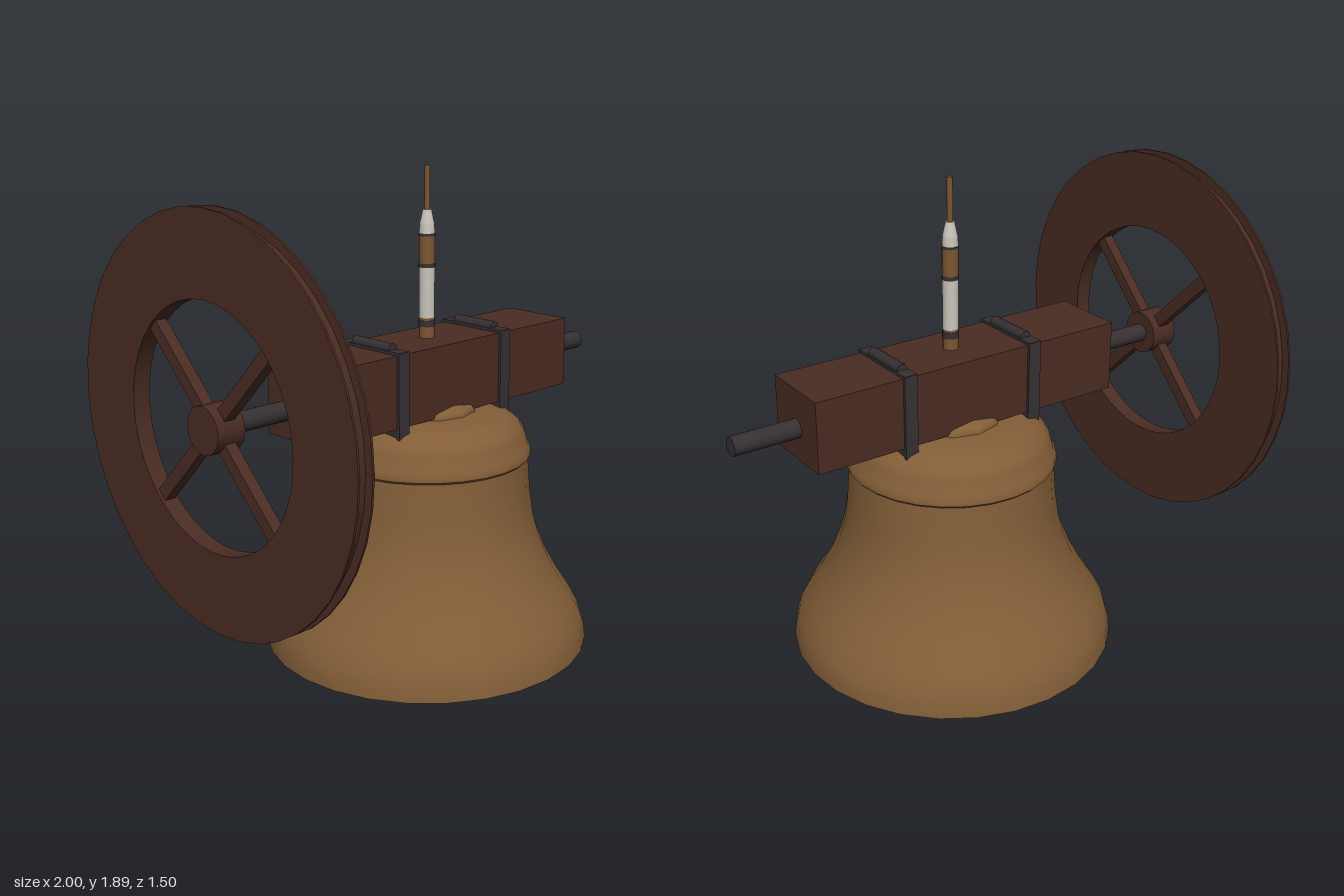
import * as THREE from 'three';
import { toCreasedNormals } from 'three/addons/utils/BufferGeometryUtils.js';

const mat = (name, color) => {
  const m = new THREE.MeshStandardMaterial({ color });
  m.name = name;
  return m;
};

export function createModel() {
  const bronze = mat('bronze', 0x835e38);
  const wood = mat('dark wood', 0x4a2c23);
  const iron = mat('iron', 0x363033);
  const ropeTan = mat('rope brown', 0x7d5632);
  const wool = mat('pale wool', 0xcac6bc);

  const model = new THREE.Group();
  model.name = 'hungBell';
  const add = (name, geo, material, x = 0, y = 0, z = 0, parent = model) => {
    const mesh = new THREE.Mesh(geo, material);
    mesh.name = name;
    mesh.position.set(x, y, z);
    parent.add(mesh);
    return mesh;
  };
  const lathe = (pts, sides, crease) => toCreasedNormals(
    new THREE.LatheGeometry(pts.map(([r, y]) => new THREE.Vector2(r, y)), sides), crease);

  const CX = 0.075, AXLE = 1.075;

  // Bell: inner wall with three ledges, lip, then the outer wall up to the crown
  const bellProfile = [
    [0, 0.87], [0.26, 0.86], [0.33, 0.8], [0.36, 0.6], [0.385, 0.44],
    [0.43, 0.29], [0.455, 0.29], [0.5, 0.16], [0.525, 0.16],
    [0.565, 0.06], [0.59, 0.06], [0.605, 0],
    [0.65, 0], [0.645, 0.05], [0.63, 0.1], [0.595, 0.165], [0.54, 0.25], [0.49, 0.34],
    [0.45, 0.44], [0.428, 0.52], [0.413, 0.62], [0.402, 0.76],
    [0.412, 0.77], [0.412, 0.795], [0.4, 0.81], [0.39, 0.855], [0.37, 0.89],
    [0.33, 0.92], [0.27, 0.935], [0.2, 0.945], [0, 0.95],
  ];
  add('bell', lathe(bellProfile, 28, 0.75), bronze, CX);
  const crown = add('crown', new THREE.SphereGeometry(0.2, 12, 8), bronze, CX, 0.935);
  crown.scale.y = 0.38;

  // Clapper
  const clapper = new THREE.Group();
  clapper.name = 'clapper';
  clapper.position.x = CX;
  model.add(clapper);
  add('clapperRod', new THREE.CylinderGeometry(0.02, 0.025, 0.56, 10), iron, 0, 0.6, 0, clapper);
  add('clapperBall', new THREE.SphereGeometry(0.072, 16, 12), iron, 0, 0.3, 0, clapper);
  add('clapperTip', new THREE.CylinderGeometry(0.03, 0.022, 0.06, 10), iron, 0, 0.22, 0, clapper);

  // Headstock and axle
  add('headstock', new THREE.BoxGeometry(1.335, 0.28, 0.3), wood, 0.0725, 1.09);
  const axle = add('axle', new THREE.CylinderGeometry(0.037, 0.037, 1.95, 20), iron, 0.025, AXLE);
  axle.rotation.z = -Math.PI / 2;

  // Iron straps around the headstock
  for (const x of [-0.205, 0.355]) {
    const strap = new THREE.Group();
    strap.name = 'strap';
    strap.position.x = x;
    model.add(strap);
    for (const s of [-1, 1])
      add('strapSide', new THREE.BoxGeometry(0.054, 0.33, 0.014), iron, 0, 1.073, s * 0.154, strap);
    add('strapTop', new THREE.BoxGeometry(0.054, 0.012, 0.32), iron, 0, 1.235, 0, strap);
    add('strapBottom', new THREE.BoxGeometry(0.054, 0.035, 0.3), iron, 0, 0.935, 0, strap);
    const bar = add('strapBar', new THREE.CylinderGeometry(0.024, 0.024, 0.2, 8), iron, 0, 1.242, 0, strap);
    bar.rotation.x = Math.PI / 2;
  }

  // Rope wheel: grooved rim, hub and four diagonal spokes, turning about x
  const wheel = new THREE.Group();
  wheel.name = 'wheel';
  wheel.position.set(-0.943, AXLE, 0);
  wheel.rotation.z = -Math.PI / 2;
  model.add(wheel);
  const W = 0.034, T = 0.026;
  add('rim', lathe([
    [0.445, -W], [0.75, -W], [0.75, -T], [0.718, -T],
    [0.718, T], [0.75, T], [0.75, W], [0.445, W], [0.445, -W],
  ], 40, 0.6), wood, 0, 0, 0, wheel);
  add('hub', new THREE.CylinderGeometry(0.087, 0.087, 0.114, 20), wood, 0, 0, 0, wheel);
  for (let i = 0; i < 4; i++) {
    const a = Math.PI / 4 + i * Math.PI / 2;
    const spoke = add('spoke', new THREE.BoxGeometry(0.41, 0.045, 0.05), wood,
      Math.cos(a) * 0.26, 0, -Math.sin(a) * 0.26, wheel);
    spoke.rotation.y = a;
  }

  // Bell rope with woollen grip: [name, material, bottom y, top y, bottom radius, top radius]
  const rope = new THREE.Group();
  rope.name = 'rope';
  rope.position.x = CX;
  model.add(rope);
  const sections = [
    ['ropeFoot', ropeTan, 1.22, 1.275, 0.03, 0.03],
    ['lowerBand', iron, 1.275, 1.3, 0.032, 0.032],
    ['ropeCollar', ropeTan, 1.3, 1.31, 0.03, 0.03],
    ['lowerGrip', wool, 1.31, 1.505, 0.031, 0.031],
    ['middleBand', iron, 1.505, 1.52, 0.032, 0.032],
    ['gripStripe', ropeTan, 1.52, 1.625, 0.031, 0.031],
    ['upperBand', iron, 1.625, 1.635, 0.032, 0.032],
    ['upperGrip', wool, 1.635, 1.67, 0.031, 0.029],
    ['gripTaper', wool, 1.67, 1.725, 0.029, 0.017],
    ['ropeTail', ropeTan, 1.725, 1.89, 0.011, 0.011],
  ];
  for (const [name, m, y0, y1, r0, r1] of sections)
    add(name, new THREE.CylinderGeometry(r1, r0, y1 - y0, 14), m, 0, (y0 + y1) / 2, 0, rope);

  return model;
}
